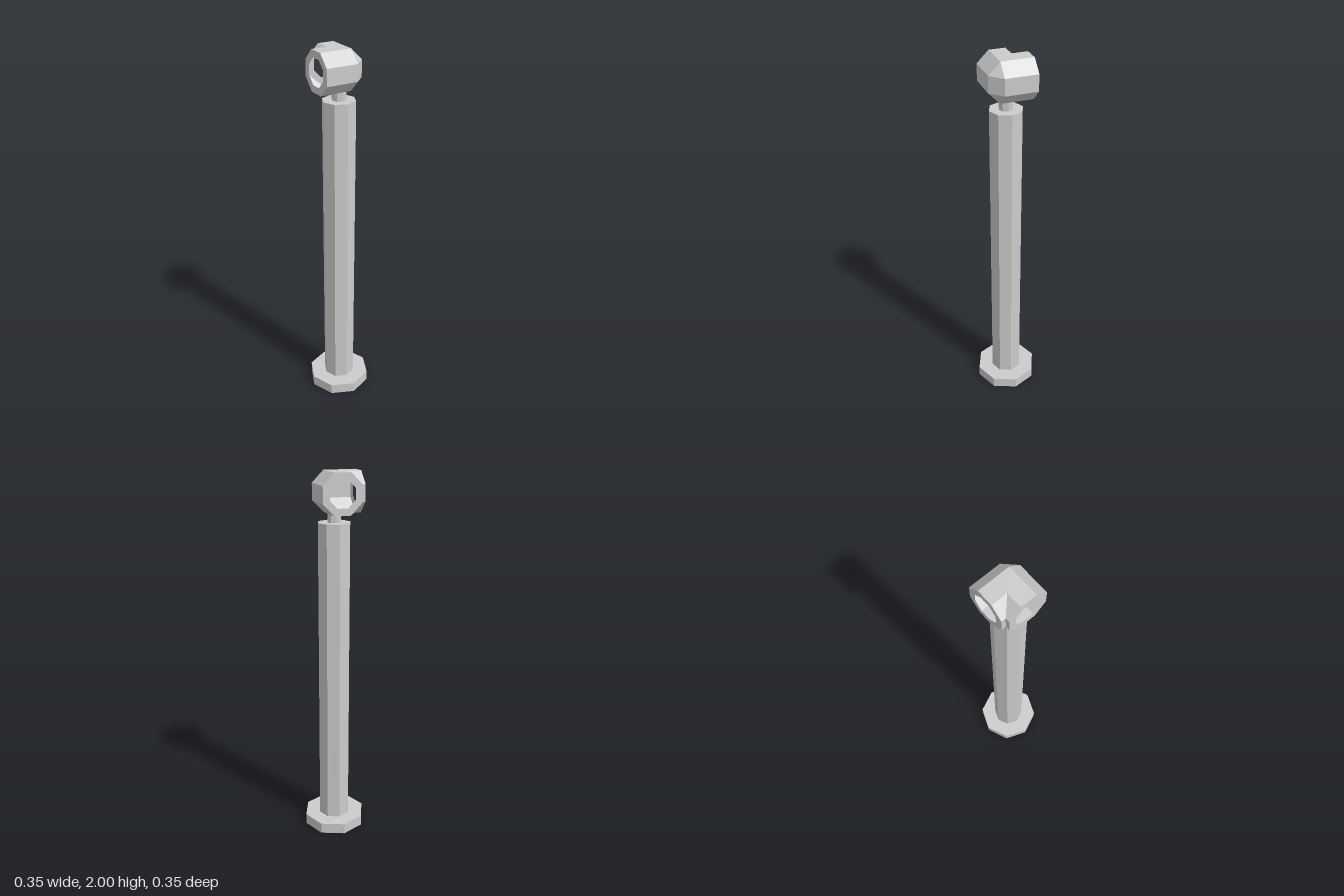
import * as THREE from 'three';

const SIDES = 8;
const material = new THREE.MeshStandardMaterial({
  color: 0xcccccc, flatShading: true, side: THREE.DoubleSide,
});

function addMesh(group, name, geometry, y = 0) {
  const mesh = new THREE.Mesh(geometry, material);
  mesh.name = name;
  mesh.position.y = y;
  group.add(mesh);
}

// Open octagonal wall between two heights
function addWall(group, name, radius, bottom, top) {
  const geometry = new THREE.CylinderGeometry(radius, radius, top - bottom, SIDES, 1, true);
  addMesh(group, name, geometry, (bottom + top) / 2);
}

// Flat octagonal plate with a corner on +z, like the walls
function addPlate(group, name, radius, y) {
  const geometry = new THREE.CircleGeometry(radius, SIDES, Math.PI / 2).rotateX(-Math.PI / 2);
  addMesh(group, name, geometry, y);
}

// Mitred octagonal elbow opening towards -x and -z, with a bevelled outer corner
function elbowGeometry(apothem, end, holeScale) {
  const radius = apothem / Math.cos(Math.PI / SIDES);
  const halfSide = apothem * Math.tan(Math.PI / SIDES);
  const ring = (place) => Array.from({ length: SIDES }, (_, k) => {
    const a = (k + 0.5) * 2 * Math.PI / SIDES;
    return place(radius * Math.cos(a), radius * Math.sin(a));
  });
  const mitre = (u) => Math.min(u, halfSide);
  const s = holeScale;
  const rings = [
    ring((u, v) => new THREE.Vector3(end, v * s, u * s)),
    ring((u, v) => new THREE.Vector3(end, v, u)),
    ring((u, v) => new THREE.Vector3(mitre(u), v, u)),
    ring((u, v) => new THREE.Vector3(u, v, mitre(u))),
    ring((u, v) => new THREE.Vector3(u, v, end)),
    ring((u, v) => new THREE.Vector3(u * s, v * s, end)),
  ];

  const points = [];
  const triangle = (a, b, c) => {
    const area = b.clone().sub(a).cross(c.clone().sub(a)).length();
    if (area > 1e-8) points.push(a, b, c);
  };
  for (let i = 0; i < rings.length - 1; i++) {
    for (let k = 0; k < SIDES; k++) {
      const n = (k + 1) % SIDES;
      triangle(rings[i][k], rings[i + 1][k], rings[i + 1][n]);
      triangle(rings[i][k], rings[i + 1][n], rings[i][n]);
    }
  }
  const geometry = new THREE.BufferGeometry().setFromPoints(points);
  geometry.computeVertexNormals();
  return geometry;
}

export function createModel() {
  const model = new THREE.Group();
  model.name = 'post';

  // Foot flange, hollow underneath
  addWall(model, 'baseRim', 0.173, 0, 0.06);
  addPlate(model, 'basePlate', 0.173, 0.06);

  // Tall column running down through the flange
  addWall(model, 'column', 0.0875, 0, 1.745);
  addPlate(model, 'columnCap', 0.0875, 1.745);

  // Thin neck and the elbow head
  addWall(model, 'neck', 0.037, 1.745, 1.797);
  addMesh(model, 'elbowHead', elbowGeometry(0.1035, -0.127, 0.65), 1.8965);

  return model;
}
